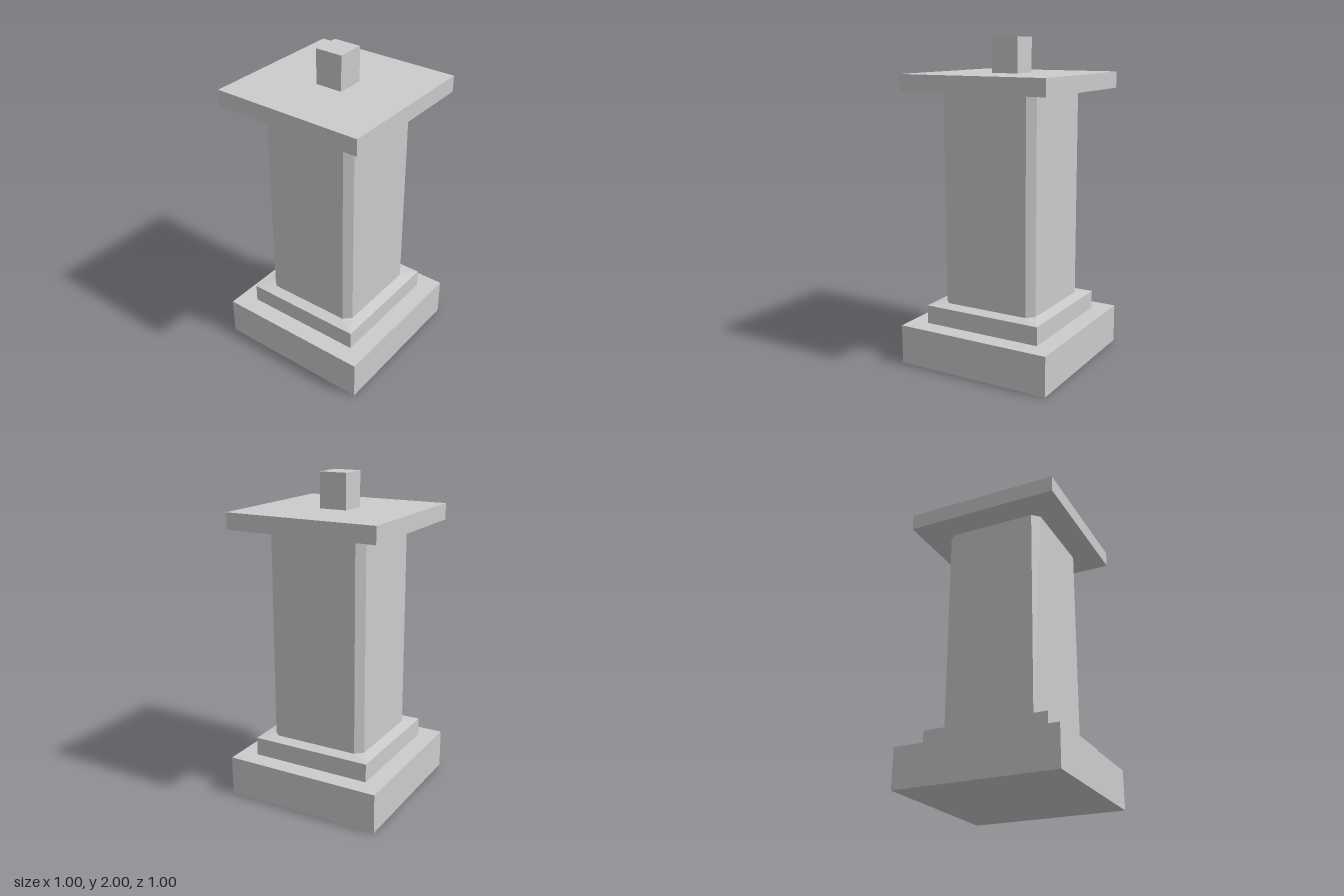
import * as THREE from 'three';

const material = new THREE.MeshStandardMaterial({ color: 0xcccccc, flatShading: true });

// Square block centred on the axis, from y0 to y1
function block(name, half, y0, y1) {
  const geo = new THREE.BoxGeometry(half * 2, y1 - y0, half * 2);
  geo.translate(0, (y0 + y1) / 2, 0);
  const mesh = new THREE.Mesh(geo, material);
  mesh.name = name;
  return mesh;
}

// Square ring with cut corners, counter-clockwise from above
function ring([y, half, cut]) {
  const points = [];
  for (let k = 0; k < 4; k++) {
    for (const s of [-1, 1]) {
      let x = s * (half - cut), z = half;
      for (let i = 0; i < k; i++) [x, z] = [z, -x];
      points.push([x, y, z]);
    }
  }
  return points;
}

// Faceted skin joining successive rings
function loft(name, sections) {
  const rings = sections.map(ring);
  const positions = [];
  for (let r = 0; r < rings.length - 1; r++) {
    for (let i = 0; i < 8; i++) {
      const j = (i + 1) % 8;
      const a = rings[r][i], b = rings[r][j], c = rings[r + 1][j], d = rings[r + 1][i];
      positions.push(...a, ...b, ...c, ...a, ...c, ...d);
    }
  }
  const geo = new THREE.BufferGeometry();
  geo.setAttribute('position', new THREE.Float32BufferAttribute(positions, 3));
  geo.computeVertexNormals();
  const mesh = new THREE.Mesh(geo, material);
  mesh.name = name;
  return mesh;
}

export function createModel() {
  const group = new THREE.Group();
  group.name = 'pedestal';
  group.add(
    block('base', 0.5, 0, 0.245),
    block('step', 0.385, 0.245, 0.36),
    // Sloped foot, shaft with chamfered corners, flared neck: [y, half width, corner cut]
    loft('shaft', [
      [0.36, 0.385, 0],
      [0.373, 0.315, 0.045],
      [1.675, 0.315, 0.045],
      [1.684, 0.36, 0],
    ]),
    block('cap', 0.48, 1.684, 1.785),
    block('topPost', 0.0875, 1.785, 2),
  );
  return group;
}
